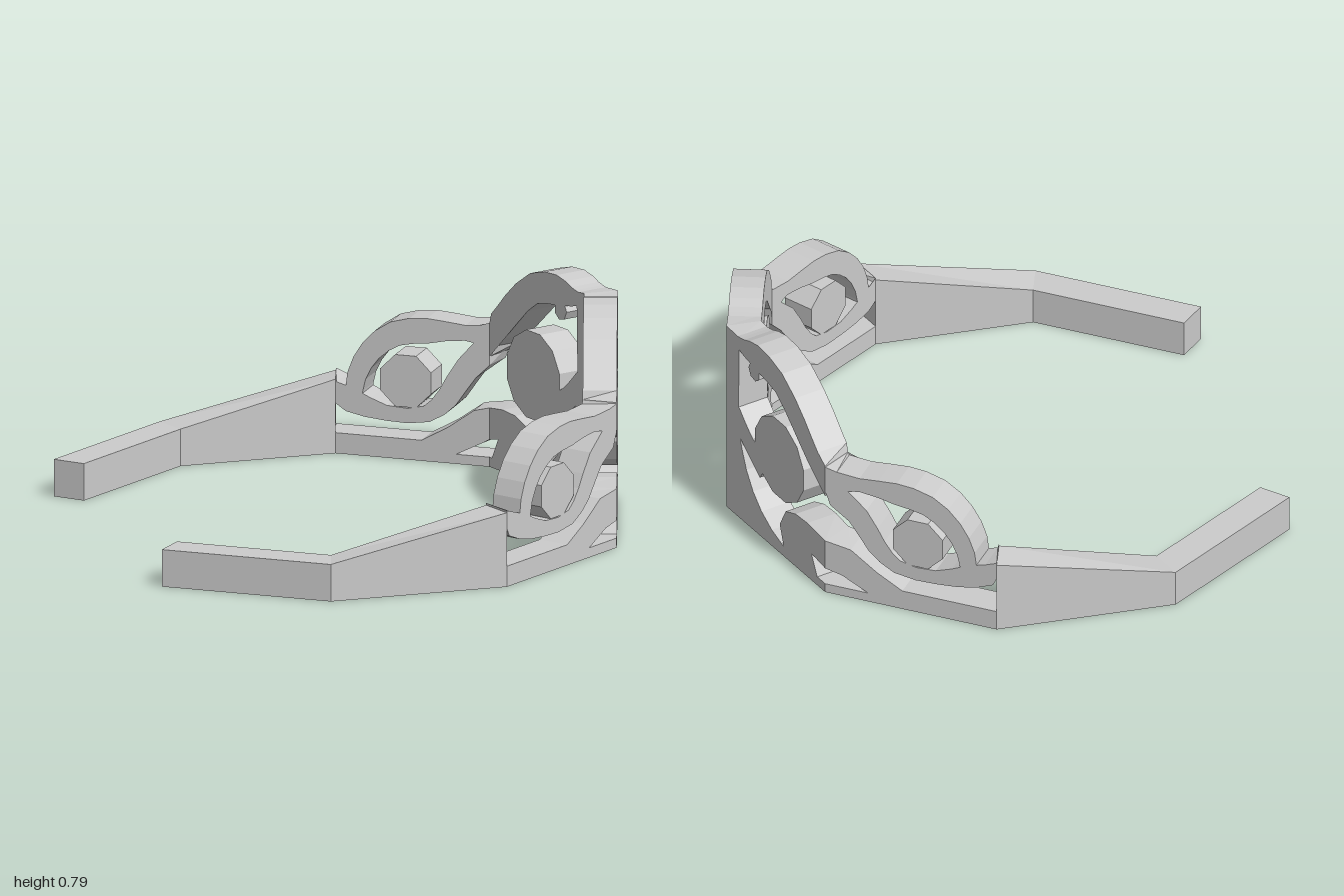
import * as THREE from 'three';

// The band follows a regular decagon: u = 0 at the front peak (+x), one unit of u per side.
const CX = -0.112, R_OUT = 1.051, R_IN = 0.925, STEP = Math.PI / 5;
const SIDE_LENGTH = 2 * R_OUT * Math.sin(STEP / 2);
const MITRE = 0.06; // share of a side lost at each end on the inner face

function corner(k, r) {
  return new THREE.Vector2(CX + r * Math.cos(k * STEP), r * Math.sin(k * STEP));
}

// Point on the outer or inner wall at distance u, walls square to each side
function onBand(u, panel, outer) {
  const inset = outer ? 0 : MITRE;
  const r = outer ? R_OUT : R_IN;
  const t = THREE.MathUtils.clamp((Math.abs(u) - panel - inset) / (1 - 2 * inset), 0, 1);
  return corner(panel, r).lerp(corner(panel + 1, r), t);
}

// Extrudes a flat outline of [u, y] points and wraps it onto one side of the decagon
function wrap(name, panel, side, outline) {
  const shape = new THREE.Shape(outline.map(([u, y]) => new THREE.Vector2(side * u, y)));
  const geo = new THREE.ExtrudeGeometry(shape, { depth: 1, bevelEnabled: false });
  const p = geo.attributes.position;
  for (let i = 0; i < p.count; i++) {
    const q = onBand(p.getX(i), panel, p.getZ(i) < 0.5);
    p.setXYZ(i, q.x, p.getY(i), q.y * side);
  }
  geo.computeVertexNormals();
  const mesh = new THREE.Mesh(geo, new THREE.MeshStandardMaterial({ color: 0xcccccc, flatShading: true }));
  mesh.name = name;
  return mesh;
}

// Round outline with n corners
function disc(u, y, r, n) {
  return Array.from({ length: n }, (_, i) => {
    const a = ((i + 0.5) / n) * Math.PI * 2;
    return [u + (r / SIDE_LENGTH) * Math.cos(a), y + r * Math.sin(a)];
  });
}

// Outline of a strand swept along a curve through [u, y, half width] points
function strand(points, n) {
  const curve = new THREE.CatmullRomCurve3(points.map(([u, y, w]) => new THREE.Vector3(u * SIDE_LENGTH, y, w)));
  const upper = [], lower = [];
  for (let i = 0; i <= n; i++) {
    const c = curve.getPoint(i / n);
    const t = curve.getTangent(i / n);
    const k = c.z / Math.hypot(t.x, t.y);
    upper.push([(c.x - t.y * k) / SIDE_LENGTH, c.y + t.x * k]);
    lower.unshift([(c.x + t.y * k) / SIDE_LENGTH, c.y - t.x * k]);
  }
  return upper.concat(lower);
}

// Half of the centre post, flaring into the base
function postOutline() {
  const flare = new THREE.QuadraticBezierCurve(
    new THREE.Vector2(0.58, 0.04), new THREE.Vector2(0.19, 0.1), new THREE.Vector2(0.12, 0.4));
  return [[0, 0], [0.58, 0], ...flare.getPoints(6).map((v) => v.toArray()), [0.13, 0.755], [0, 0.76]];
}

function buildHalf(side) {
  const half = new THREE.Group();
  const add = (name, panel, outline) => half.add(wrap(name, panel, side, outline));

  // front side: post, arched crest with a small knob, large disc on its arm
  add('centrePost', 0, postOutline());
  add('crest', 0, strand([[0.1, 0.733, 0.022], [0.18, 0.73, 0.035], [0.31, 0.735, 0.055], [0.53, 0.71, 0.055],
    [0.74, 0.605, 0.055], [0.88, 0.52, 0.05], [1.06, 0.45, 0.055]], 12));
  add('crestKnob', 0, disc(0.28, 0.667, 0.037, 7));
  add('largeDisc', 0, disc(0.535, 0.39, 0.165, 12));
  add('discArm', 0, strand([[0.08, 0.43, 0.045], [0.21, 0.355, 0.042], [0.38, 0.285, 0.05]], 4));

  // lower curl, open underneath at the fold
  add('lowerCurl', 0, [[0.58, 0], [1, 0], [1, 0.035], [0.92, 0.035], [0.86, 0.112], [1, 0.1], [1, 0.215],
    [0.82, 0.225], [0.7, 0.22], [0.6, 0.195], [0.54, 0.12], [0.58, 0.04]]);
  add('baseRail', 1, [[1, 0], [2, 0], [2, 0.075], [1.45, 0.075], [1.3, 0.13], [1.15, 0.2], [1, 0.215],
    [1, 0.1], [1.1, 0.085], [1.25, 0.035], [1, 0.035]]);

  // second side: upper band and sweeping strand around the small disc
  add('sideArch', 1, strand([[0.94, 0.47, 0.055], [1.2, 0.48, 0.028], [1.41, 0.476, 0.045], [1.6, 0.455, 0.045],
    [1.74, 0.385, 0.04], [1.82, 0.29, 0.035], [1.84, 0.19, 0.03]], 12));
  add('sideStrand', 1, strand([[0.94, 0.47, 0.055], [1.19, 0.35, 0.045], [1.3, 0.24, 0.04], [1.42, 0.172, 0.03],
    [1.65, 0.163, 0.028], [1.86, 0.2, 0.045], [2.05, 0.245, 0.035]], 12));
  add('smallDisc', 1, disc(1.54, 0.285, 0.102, 8));

  // plain tapering side and end
  add('taperedSide', 2, [[2, 0], [3, 0], [3, 0.135], [2, 0.27]]);
  add('endBar', 3, [[3, 0], [3.965, 0], [3.965, 0.135], [3, 0.135]]);
  return half;
}

export function createModel() {
  const model = new THREE.Group();
  model.name = 'openworkCrown';
  for (const side of [1, -1]) {
    const half = buildHalf(side);
    half.name = side > 0 ? 'frontHalf' : 'backHalf';
    model.add(half);
  }
  return model;
}
